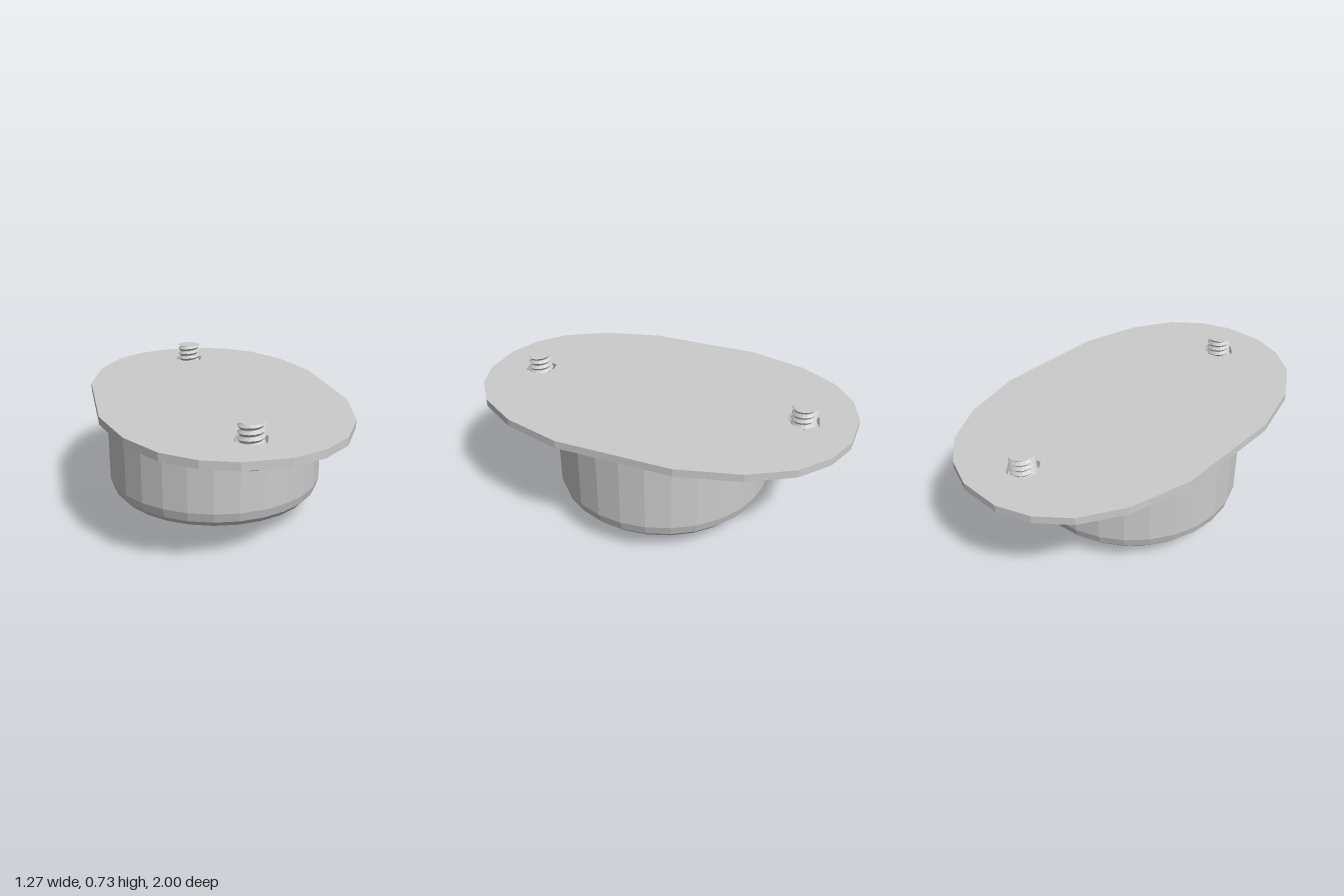
import * as THREE from 'three';

const grey = new THREE.MeshStandardMaterial({ color: 0xcccccc, flatShading: true, side: THREE.DoubleSide });

function add(parent, name, geometry, x = 0, y = 0, z = 0) {
  const mesh = new THREE.Mesh(geometry, grey);
  mesh.name = name;
  mesh.position.set(x, y, z);
  parent.add(mesh);
  return mesh;
}

function lathe(profile, segments) {
  return new THREE.LatheGeometry(profile.map(([r, y]) => new THREE.Vector2(r, y)), segments);
}

const SCREW_Z = 0.745;

// Oval mounting plate with two hexagonal screw holes
function plateGeometry() {
  const quarter = [[0.633, 0.3], [0.55, 0.61], [0.425, 0.82], [0.275, 0.94], [0.11, 1]];
  const half = [...quarter, ...quarter.map(([x, y]) => [-x, y]).reverse()];
  const outline = [...half, ...half.map(([x, y]) => [-x, -y])];
  const shape = new THREE.Shape(outline.map(([x, y]) => new THREE.Vector2(x, y)));
  for (const side of [-1, 1]) {
    const hole = [];
    for (let i = 0; i < 6; i++) {
      const a = -i * Math.PI / 3 + 0.2;
      hole.push(new THREE.Vector2(0.086 * Math.cos(a), side * SCREW_Z + 0.086 * Math.sin(a)));
    }
    shape.holes.push(new THREE.Path(hole));
  }
  const geometry = new THREE.ExtrudeGeometry(shape, { depth: 0.04, bevelEnabled: false });
  return geometry.rotateX(-Math.PI / 2);
}

// Domed screw head: a grid bent into a dome, with its middle lines pushed in as a cross recess
function headGeometry(radius, height) {
  const lines = [-1, -0.9, -0.7, -0.4, -0.4, -0.14, -0.14, 0.14, 0.14, 0.4, 0.4, 0.7, 0.9, 1];
  const n = lines.length;
  const geometry = new THREE.PlaneGeometry(2, 2, n - 1, n - 1).rotateX(Math.PI / 2);
  const pos = geometry.attributes.position;
  const inWidth = (i) => i === 6 || i === 7;
  const inLength = (i) => i >= 4 && i <= 9;
  for (let k = 0; k < pos.count; k++) {
    const i = k % n, j = Math.floor(k / n);
    const u = lines[i], v = -lines[j];
    const x = u * Math.sqrt(1 - v * v / 2), z = v * Math.sqrt(1 - u * u / 2);
    const recessed = (inWidth(i) && inLength(j)) || (inWidth(j) && inLength(i));
    const y = recessed ? -0.5 : -Math.sqrt(Math.max(0, 1 - x * x - z * z));
    pos.setXYZ(k, x * radius, y * height, z * radius);
  }
  geometry.computeVertexNormals();
  return geometry;
}

// Helical thread: alternate rows of a tube form crests and roots, each row climbing one pitch per turn
function threadGeometry(height, pitch, crest, root) {
  const sides = 16;
  const rows = 2 * Math.ceil(height / pitch) + 4;
  const geometry = new THREE.CylinderGeometry(1, 1, 1, sides, rows, true);
  const pos = geometry.attributes.position;
  for (let k = 0; k < pos.count; k++) {
    const i = k % (sides + 1), row = Math.floor(k / (sides + 1));
    const a = i / sides * Math.PI * 2;
    const r = row % 2 ? crest : root;
    const y = height + pitch * (1 - row / 2 + i / sides);
    pos.setXYZ(k, r * Math.sin(a), THREE.MathUtils.clamp(y, 0, height), r * Math.cos(a));
  }
  geometry.computeVertexNormals();
  return geometry;
}

function createScrew() {
  const screw = new THREE.Group();
  screw.name = 'screw';
  add(screw, 'screwHead', headGeometry(0.125, 0.104), 0, 0.604, 0);
  add(screw, 'screwHeadTop', new THREE.CircleGeometry(0.125, 16).rotateX(-Math.PI / 2), 0, 0.603, 0);
  add(screw, 'screwCore', new THREE.CylinderGeometry(0.052, 0.052, 0.125, 16), 0, 0.6665, 0);
  add(screw, 'screwThread', threadGeometry(0.125, 0.03, 0.065, 0.05), 0, 0.604, 0);
  return screw;
}

export function createModel() {
  const model = new THREE.Group();
  model.name = 'ballCaster';

  add(model, 'mountingPlate', plateGeometry(), 0, 0.603, 0);

  // Housing cup with rounded lower edge and a small flare under the plate
  const cup = [[0, 0.092], [0.48, 0.092], [0.53, 0.112], [0.56, 0.145], [0.574, 0.195],
    [0.574, 0.575], [0.583, 0.588], [0.6, 0.603]];
  add(model, 'housingCup', lathe(cup, 28));

  // Rolling ball, showing through the bottom of the cup
  add(model, 'ball', new THREE.SphereGeometry(0.265, 14, 14), 0, 0.268, 0);

  for (const side of [-1, 1]) {
    const screw = createScrew();
    screw.position.z = side * SCREW_Z;
    model.add(screw);
  }
  return model;
}
